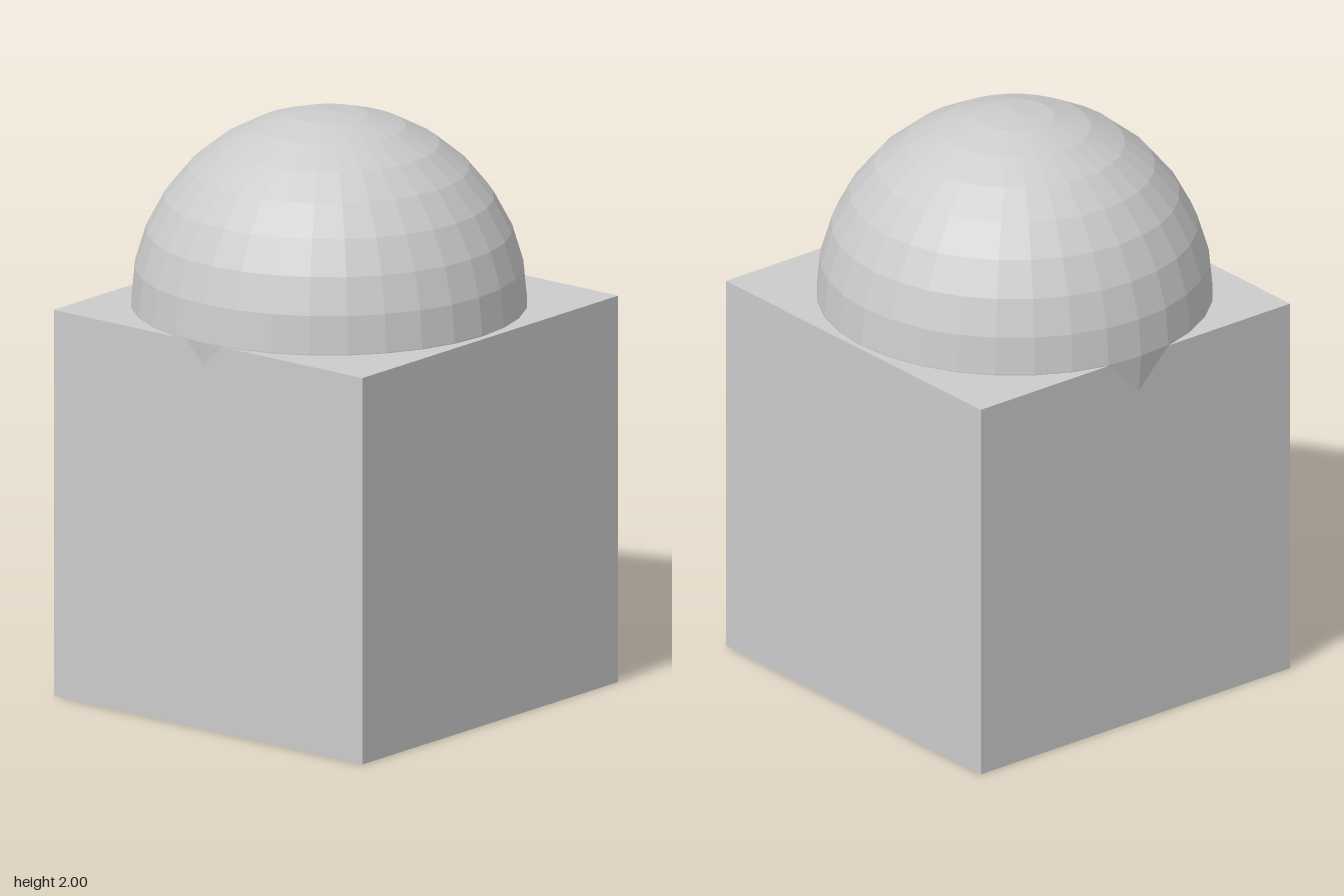
import * as THREE from 'three';

const SIDE = 1.335;   // edge of the cube
const RADIUS = 0.662; // radius of the ball

export function createModel() {
  const model = new THREE.Group();
  model.name = 'domedBlock';
  const material = new THREE.MeshStandardMaterial({ color: 0xcccccc, flatShading: true });

  // Cube standing on the ground
  const block = new THREE.Mesh(new THREE.BoxGeometry(SIDE, SIDE, SIDE), material);
  block.name = 'block';
  block.position.set(0.0065, SIDE / 2, -0.004);
  model.add(block);

  // Faceted ball sunk halfway into the cube, slightly off centre so it pokes through two sides
  const dome = new THREE.Mesh(new THREE.SphereGeometry(RADIUS, 32, 16), material);
  dome.name = 'dome';
  dome.position.set(-0.012, 2 - RADIUS, 0.0095);
  model.add(dome);

  return model;
}
